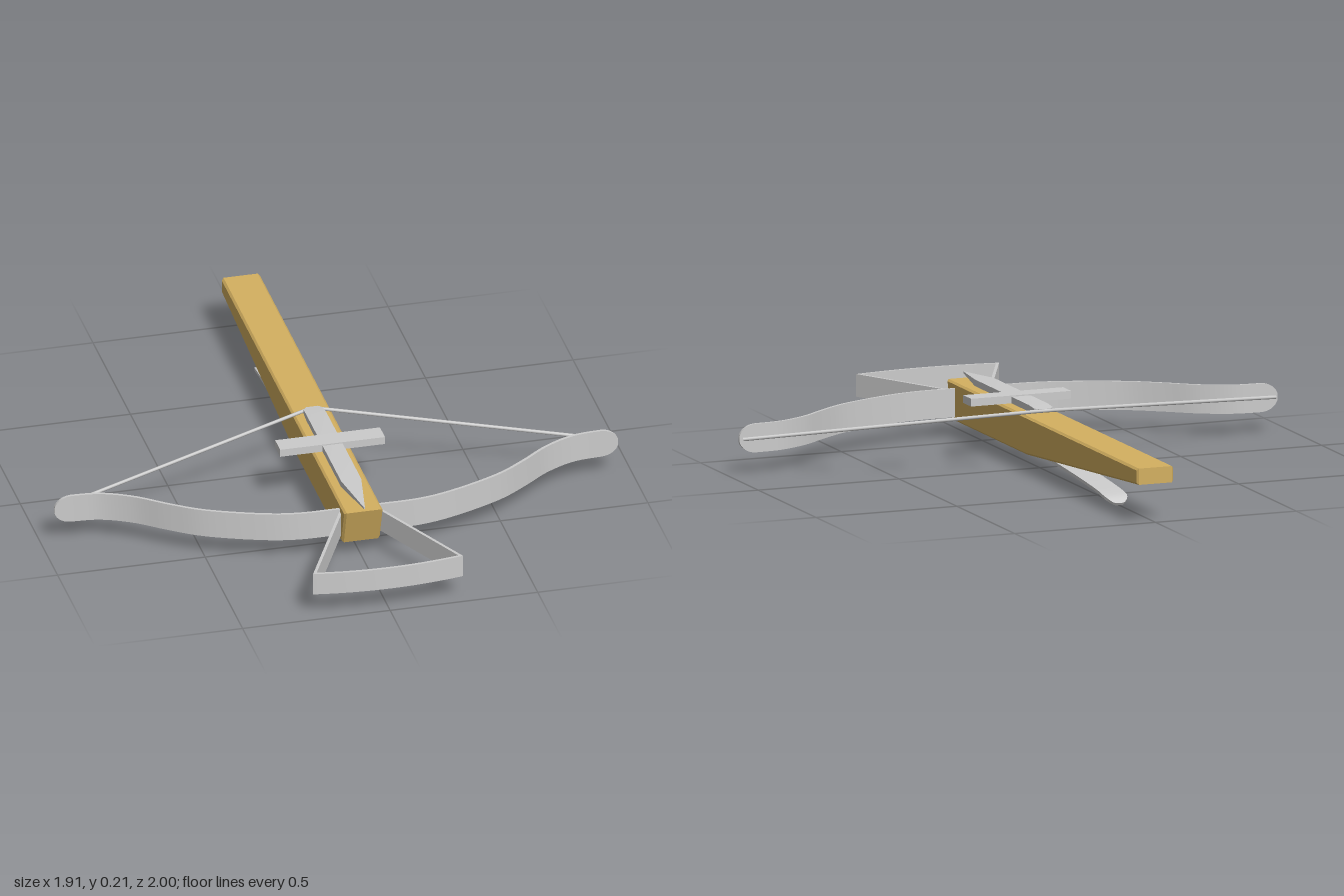
import * as THREE from 'three';
import { toCreasedNormals } from 'three/addons/utils/BufferGeometryUtils.js';

const V = (x, y, z) => new THREE.Vector3(x, y, z);
const grey = new THREE.MeshStandardMaterial({ color: 0xcccccc });
const wood = new THREE.MeshStandardMaterial({ color: 0xd4b060 });

function part(name, geometry, material = grey) {
  const mesh = new THREE.Mesh(geometry, material);
  mesh.name = name;
  return mesh;
}

// Rectangular section swept along points; half width along `axis`, mitred half thickness across it.
function ribbon(points, axis, halfWidth, halfThick) {
  const last = points.length - 1;
  const rings = points.map((p, i) => {
    const before = p.clone().sub(points[Math.max(i - 1, 0)]).normalize();
    const after = points[Math.min(i + 1, last)].clone().sub(p).normalize();
    const tangent = before.clone().add(after).normalize();
    const mitre = 1 / Math.max(0.4, tangent.dot(i < last ? after : before));
    const n = tangent.clone().cross(axis).normalize().multiplyScalar(halfThick(p) * mitre);
    const w = axis.clone().multiplyScalar(halfWidth(p));
    return [[1, -1], [1, 1], [-1, 1], [-1, -1]].map(([a, b]) =>
      p.clone().addScaledVector(w, a).addScaledVector(n, b));
  });
  const verts = [];
  const quad = (a, b, c, d) => [a, b, c, a, c, d].forEach((v) => verts.push(v.x, v.y, v.z));
  for (let i = 0; i < last; i++) {
    for (let k = 0; k < 4; k++) {
      const m = (k + 1) % 4;
      quad(rings[i][k], rings[i][m], rings[i + 1][m], rings[i + 1][k]);
    }
  }
  quad(...rings[0].slice().reverse());
  quad(...rings[last]);
  const geometry = new THREE.BufferGeometry();
  geometry.setAttribute('position', new THREE.Float32BufferAttribute(verts, 3));
  return toCreasedNormals(geometry, 0.6);
}

// Smooth curve samples, crowded towards both ends
function samples(points, count) {
  const curve = new THREE.CatmullRomCurve3(points, false, 'centripetal');
  return Array.from({ length: count + 1 }, (_, i) =>
    curve.getPointAt((1 - Math.cos((Math.PI * i) / count)) / 2));
}

// Quarter-round profile for the end of a strip
const roundEnd = (distance, length) =>
  Math.max(0.08, Math.sqrt(Math.max(0, 1 - (1 - Math.min(1, distance / length)) ** 2)));

export function createModel() {
  const group = new THREE.Group();
  const up = V(0, 1, 0);
  const side = V(1, 0, 0);

  // Stock: side outline extruded across x, with a small bevel
  const b = 0.007;
  const outline = new THREE.Shape(
    [[0.641, 0.178], [0.605, 0.062], [-0.03, 0.062], [-0.993, 0.137], [-0.993, 0.178]]
      .map(([z, y]) => new THREE.Vector2(-z, y)));
  const stock = new THREE.ExtrudeGeometry(outline, {
    depth: 0.13 - 2 * b, bevelSize: b, bevelThickness: b, bevelSegments: 1,
  });
  stock.translate(0, 0, -0.065 + b).rotateY(Math.PI / 2);
  group.add(part('stock', stock, wood));

  // Bow: recurved upright strip with rounded tips
  const half = [[0.955, 0.276], [0.88, 0.276], [0.8, 0.286], [0.7, 0.333], [0.6, 0.41],
    [0.5, 0.477], [0.3, 0.557], [0.2, 0.577], [0.07, 0.579]];
  const bowPath = [
    ...half.map(([x, z]) => V(-x, 0.118, z)),
    ...half.slice().reverse().map(([x, z]) => V(x, 0.118, z)),
  ];
  group.add(part('bow', ribbon(samples(bowPath, 96), up,
    (p) => 0.048 * roundEnd(0.956 - Math.abs(p.x), 0.06), () => 0.005)));

  // Foot stirrup: two straight sides and a shallow arc
  const stirrup = [V(-0.055, 0.118, 0.57)];
  for (let i = -8; i <= 8; i++) {
    const t = i / 8;
    stirrup.push(V(0.247 * t, 0.118, 0.99 - 0.022 * t * t));
  }
  stirrup.push(V(0.055, 0.118, 0.57));
  group.add(part('stirrup', ribbon(stirrup, up, () => 0.038, () => 0.005)));

  // Bowstring: straight runs joined by a small bend behind the bolt
  const string = new THREE.CurvePath();
  const bend = [V(-0.03, 0.198, -0.037), V(0, 0.201, -0.052), V(0.03, 0.198, -0.037)];
  string.add(new THREE.LineCurve3(V(-0.945, 0.118, 0.264), bend[0]));
  string.add(new THREE.QuadraticBezierCurve3(...bend));
  string.add(new THREE.LineCurve3(bend[2], V(0.945, 0.118, 0.264)));
  group.add(part('bowstring', new THREE.TubeGeometry(string, 120, 0.006, 8)));

  // Bolt: flat bar tapering to a point, with a sloped tail
  const bolt = new THREE.Group();
  bolt.name = 'bolt';
  const stations = new Map([[-0.045, [0.02, 0.006]], [-0.03, [0.033, 0.007]], [0.015, [0.034, 0.011]],
    [0.48, [0.034, 0.011]], [0.655, [0.002, 0.003]]]);
  bolt.add(part('boltShaft', ribbon([...stations.keys()].map((z) => V(0, 0.2, z)), side,
    (p) => stations.get(p.z)[0], (p) => stations.get(p.z)[1])));
  const bar = part('boltCrossbar', new THREE.BoxGeometry(0.355, 0.026, 0.068));
  bar.position.set(0, 0.202, 0.197);
  bolt.add(bar);
  group.add(bolt);

  // Trigger lever: thin drooping strip under the stock with a rounded end
  const lever = [[-0.05, 0.068], [-0.2, 0.062], [-0.35, 0.053], [-0.5, 0.042], [-0.62, 0.03],
    [-0.665, 0.02], [-0.688, 0.005]].map(([z, y]) => V(0, y, z));
  group.add(part('triggerLever', ribbon(samples(lever, 40), side,
    (p) => 0.041 * roundEnd(p.z + 0.69, 0.045), () => 0.005)));

  return group;
}
